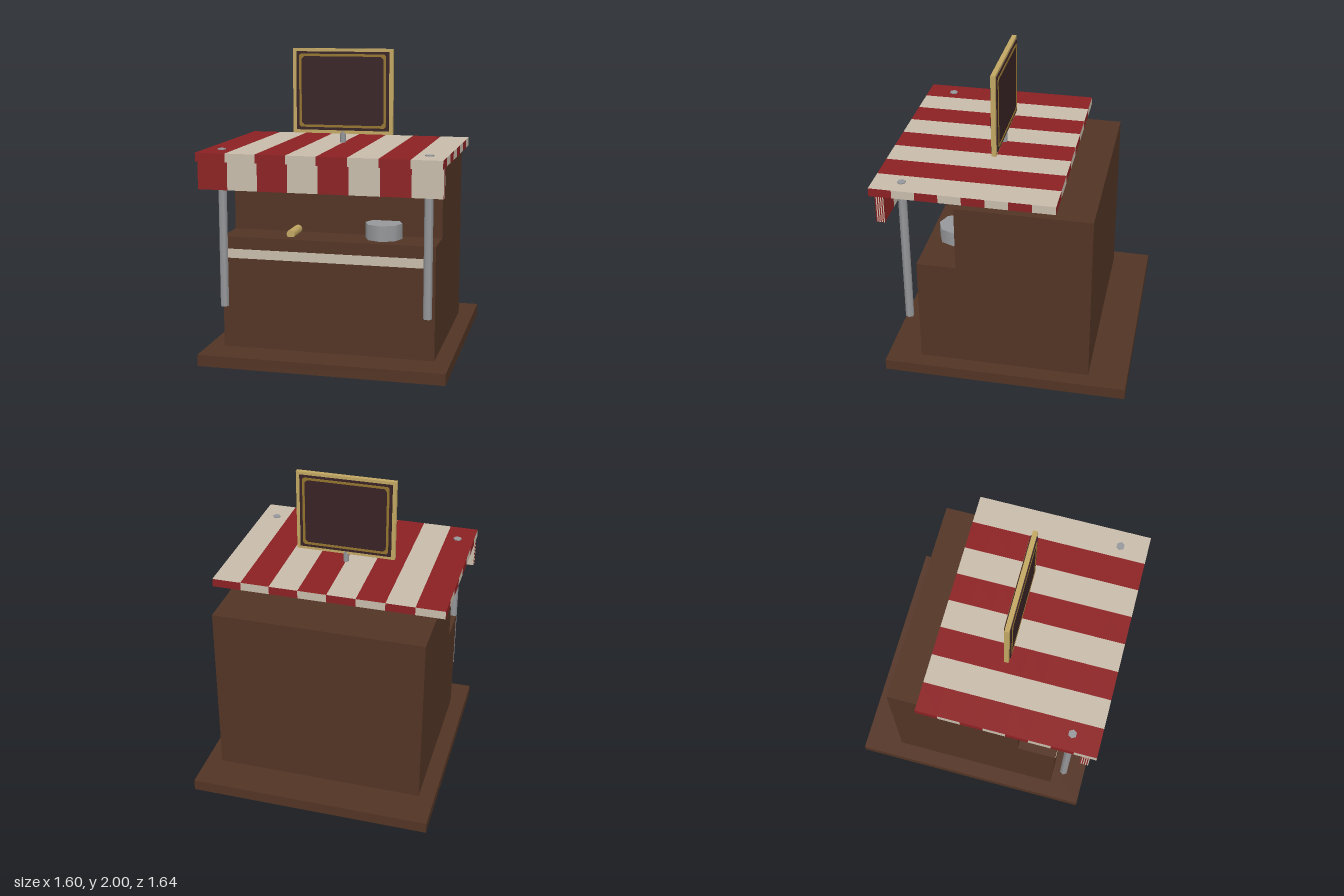
import * as THREE from 'three';

const paint = (name, color) => {
  const m = new THREE.MeshStandardMaterial({ color });
  m.name = name;
  return m;
};

export function createModel() {
  const wood = paint('brown wood', 0x523424);
  const red = paint('red cloth', 0x8c2123);
  const cream = paint('cream cloth', 0xc8bcab);
  const metal = paint('grey metal', 0x97989b);
  const gold = paint('pale gold', 0xc2a762);
  const darkGold = paint('dark gold', 0x94742f);
  const panelDark = paint('dark panel', 0x372225);

  const model = new THREE.Group();
  model.name = 'marketStall';

  const add = (name, geometry, material, x = 0, y = 0, z = 0) => {
    const mesh = new THREE.Mesh(geometry, material);
    mesh.name = name;
    mesh.position.set(x, y, z);
    model.add(mesh);
    return mesh;
  };

  // Box given by its limits on each axis
  const box = (name, material, [x0, x1], [y0, y1], [z0, z1]) =>
    add(name, new THREE.BoxGeometry(x1 - x0, y1 - y0, z1 - z0), material,
      (x0 + x1) / 2, (y0 + y1) / 2, (z0 + z1) / 2);

  // Box with eight stripes across every face but the underside
  const stripedBox = (name, w, [y0, y1], [z0, z1]) => {
    const g = new THREE.BoxGeometry(w, y1 - y0, z1 - z0, 8, 1, 8);
    const underside = g.groups[3];
    const total = g.index.count;
    g.clearGroups();
    for (let i = 0; i < total; i += 6) {
      const below = i >= underside.start && i < underside.start + underside.count;
      g.addGroup(i, 6, below || (i / 6) % 2 ? 1 : 0);
    }
    return add(name, g, [red, cream], 0, (y0 + y1) / 2, (z0 + z1) / 2);
  };

  // Upright six-sided pole with corners towards the sides
  const pole = (name, r, y0, y1, x, z) => {
    const g = new THREE.CylinderGeometry(r, r, y1 - y0, 6).rotateY(Math.PI / 2);
    return add(name, g, metal, x, (y0 + y1) / 2, z);
  };

  // Stall body
  box('basePlatform', wood, [-0.8, 0.8], [0, 0.075], [-0.82, 0.79]);
  box('rearCabinet', wood, [-0.695, 0.695], [0.075, 1.25], [-0.565, 0.31]);
  box('frontCounter', wood, [-0.695, 0.695], [0.075, 0.81], [0.31, 0.568]);
  box('counterTrim', cream, [-0.66, 0.66], [0.67, 0.73], [0.565, 0.571]);

  // Awning with its hanging front and poles
  stripedBox('awning', 1.54, [1.33, 1.385], [-0.345, 0.825]);
  stripedBox('valance', 1.54, [1.15, 1.33], [0.73, 0.785]);
  for (const side of [-1, 1]) {
    pole(side < 0 ? 'rightPole' : 'leftPole', 0.028, 0.37, 1.392, side * 0.66, 0.643);
  }

  // Goods on the counter
  add('drum', new THREE.CylinderGeometry(0.12, 0.12, 0.1, 8), metal, 0.33, 0.86, 0.385);
  add('goldRoll', new THREE.CylinderGeometry(0.028, 0.028, 0.19, 8).rotateX(Math.PI / 2),
    gold, -0.26, 0.828, 0.395);

  // Sign: gold board, dark panel standing proud on both faces
  pole('signPole', 0.02, 1.25, 1.46, 0, 0.13);
  box('signFrame', gold, [-0.335, 0.335], [1.445, 2], [0.115, 0.145]);
  box('signPanel', panelDark, [-0.31, 0.31], [1.467, 1.98], [0.108, 0.152]);

  // Thin border line with clipped corners, on both faces
  const clipped = (Type, w, h, c) => new Type([
    [w - c, -h], [w, c - h], [w, h - c], [w - c, h],
    [c - w, h], [-w, h - c], [-w, c - h], [c - w, -h],
  ].map(([x, y]) => new THREE.Vector2(x, y)));
  const border = clipped(THREE.Shape, 0.291, 0.24, 0.012);
  border.holes.push(clipped(THREE.Path, 0.275, 0.224, 0.018));
  const borderGeometry = new THREE.ExtrudeGeometry(border, { depth: 0.003, bevelEnabled: false });
  add('signBorderFront', borderGeometry, darkGold, 0, 1.725, 0.152);
  add('signBorderBack', borderGeometry, darkGold, 0, 1.725, 0.105);

  return model;
}
